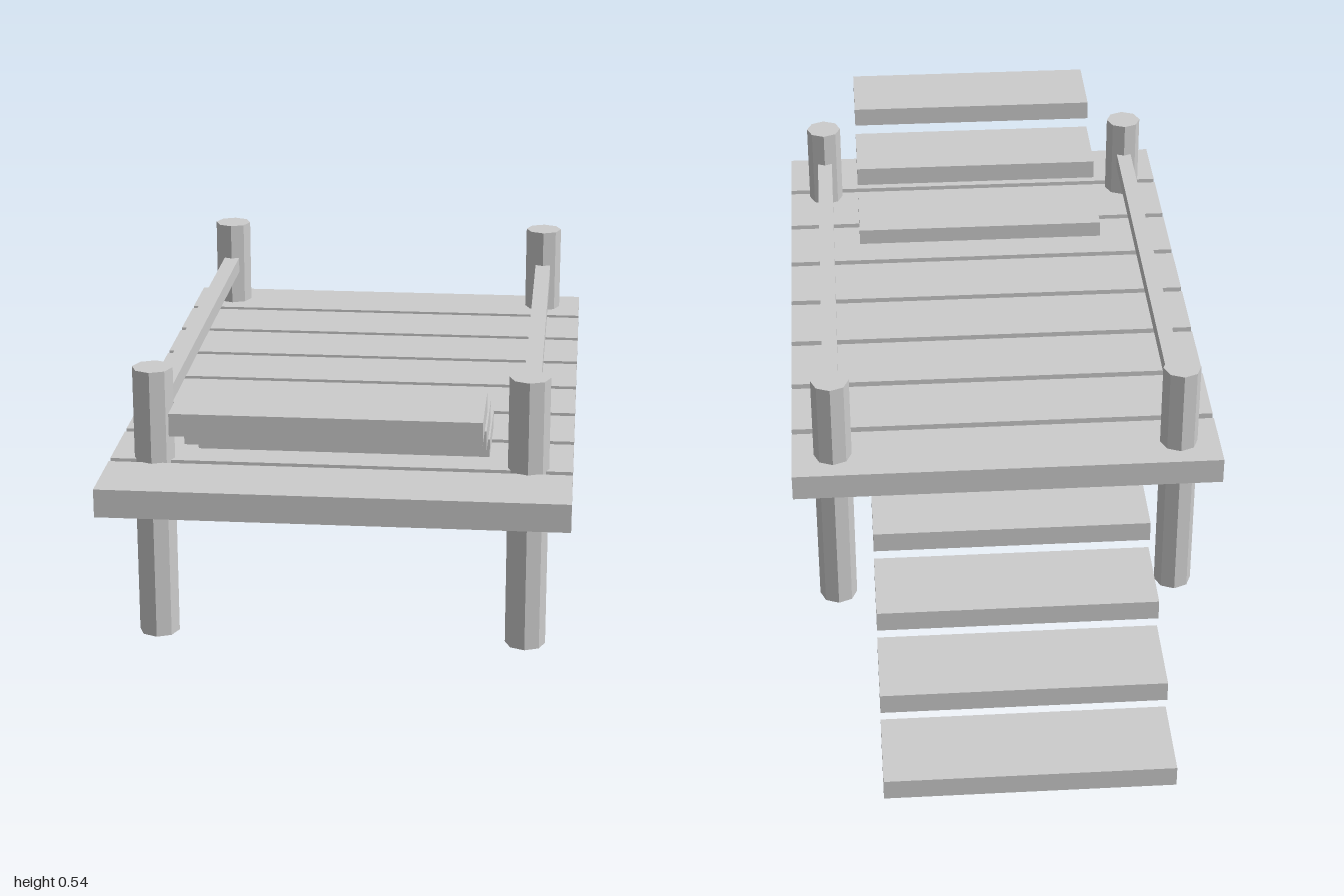
import * as THREE from 'three';

export function createModel() {
  const model = new THREE.Group();
  const material = new THREE.MeshStandardMaterial({ color: 0xcccccc, flatShading: true });

  const add = (name, geometry, x, y, z) => {
    const mesh = new THREE.Mesh(geometry, material);
    mesh.name = name;
    mesh.position.set(x, y, z);
    model.add(mesh);
  };

  // Deck of eight cross planks with narrow gaps
  const plank = new THREE.BoxGeometry(0.882, 0.055, 0.152);
  for (let i = 0; i < 8; i++) add('deckPlank', plank, 0, 0.331, -0.345 + i * 0.169);

  // Octagonal posts and a handrail along each side
  const backZ = -0.345, frontZ = 0.731;
  const post = new THREE.CylinderGeometry(0.039, 0.039, 0.54, 8);
  const rail = new THREE.BoxGeometry(0.033, 0.033, frontZ - backZ);
  for (const x of [-0.357, 0.357]) {
    add('backPost', post, x, 0.27, backZ);
    add('frontPost', post, x, 0.27, frontZ);
    add('handrail', rail, x, 0.447, (backZ + frontZ) / 2);
  }

  // Four steps descending at the back, three rising at the front
  const step = new THREE.BoxGeometry(0.562, 0.0425, 0.178);
  for (let i = 0; i < 4; i++) add('lowerStep', step, 0, 0.034 + i * 0.0735, -0.911 + i * 0.162);
  for (let i = 0; i < 3; i++) add('upperStep', step, 0, 0.373 + i * 0.0735, 0.587 + i * 0.162);

  return model;
}
